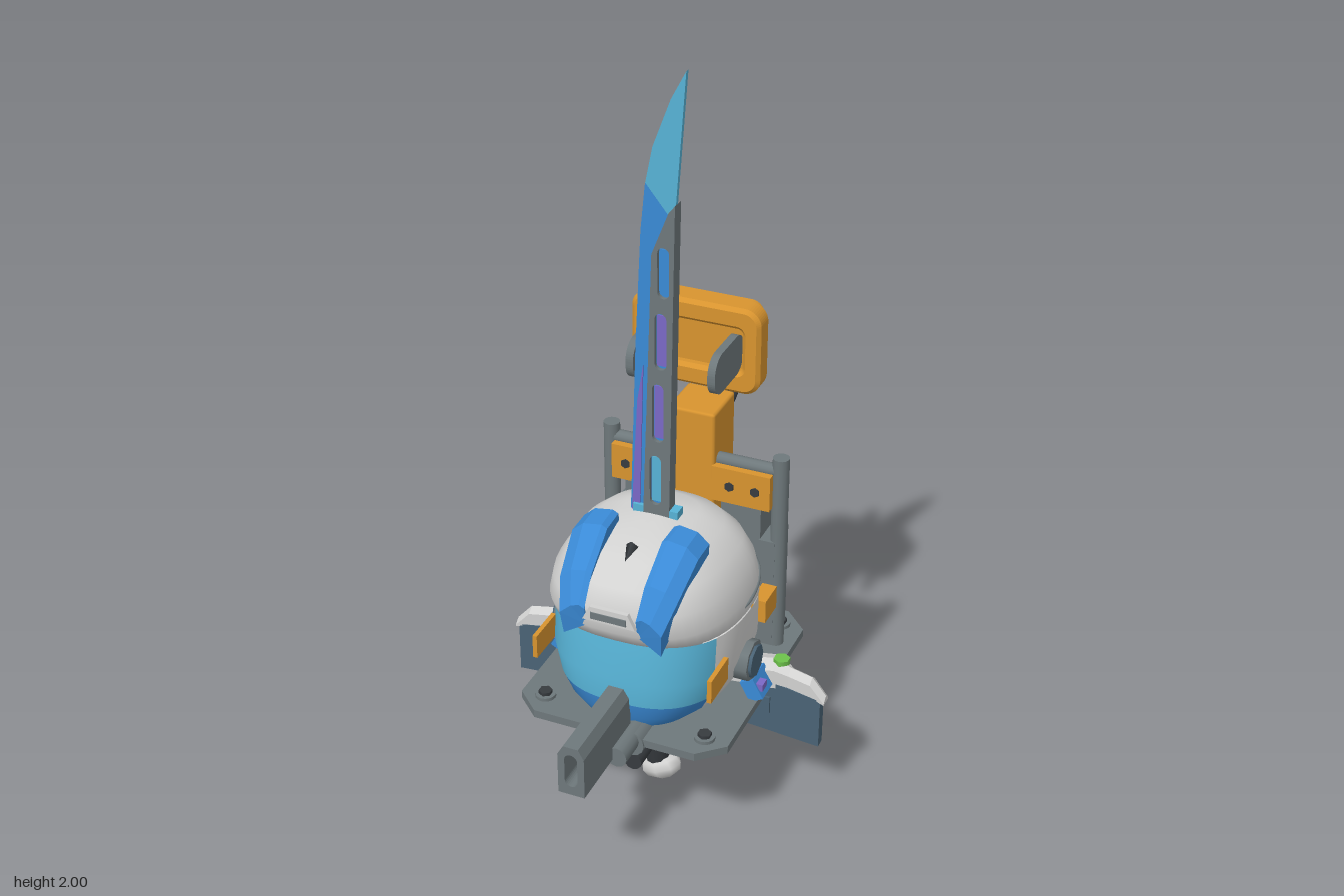
import * as THREE from 'three';
import { RoundedBoxGeometry } from 'three/addons/geometries/RoundedBoxGeometry.js';

const mat = (name, color, side = THREE.FrontSide) => {
  const m = new THREE.MeshStandardMaterial({ color, side });
  m.name = name;
  return m;
};

export function createModel() {
  const shell = mat('pale shell', 0xd2d2d1, THREE.DoubleSide);
  const grey = mat('steel grey', 0x6e787b);
  const dark = mat('dark rubber', 0x373b3f);
  const orange = mat('orange', 0xd8942f);
  const blue = mat('blue', 0x3a8ad6, THREE.DoubleSide);
  const cyan = mat('cyan', 0x57b3d6, THREE.DoubleSide);
  const slate = mat('slate blue', 0x4a6375);
  const purple = mat('purple', 0x7a68c6);
  const green = mat('green', 0x6cc24a);

  const root = new THREE.Group();
  root.name = 'model';
  const add = (name, geo, m, x = 0, y = 0, z = 0, rx = 0, ry = 0, rz = 0, parent = root) => {
    const mesh = new THREE.Mesh(geo, m);
    mesh.name = name;
    mesh.position.set(x, y, z);
    mesh.rotation.set(rx, ry, rz);
    parent.add(mesh);
    return mesh;
  };
  const box = (w, h, d) => new THREE.BoxGeometry(w, h, d);
  const cyl = (r, h, n = 16, r2 = r) => new THREE.CylinderGeometry(r, r2, h, n);
  const H = Math.PI / 2;
  const shapeOf = (pts) => new THREE.Shape(pts.map(([x, y]) => new THREE.Vector2(x, y)));
  // plate in the xy plane, centred on its own thickness
  const plate = (shape, depth, bevel = 0) => {
    const g = new THREE.ExtrudeGeometry(shape, { depth: depth - 2 * bevel, bevelEnabled: bevel > 0, bevelSize: bevel, bevelThickness: bevel, bevelOffset: -bevel, bevelSegments: 1, curveSegments: 6 });
    return g.translate(0, 0, -depth / 2 + bevel);
  };
  const tube = (pts, r, n = 32) => new THREE.TubeGeometry(new THREE.CatmullRomCurve3(pts.map((p) => new THREE.Vector3(...p))), n, r, 10);

  // skin over cross-sections; closed lofts get end caps and outward faces
  const loft = (sections, closed = true, flat = true) => {
    const n = sections[0].length, idx = [], P = sections.flat();
    for (let i = 0; i < sections.length - 1; i++)
      for (let j = 0; j < (closed ? n : n - 1); j++) {
        const a = i * n + j, b = i * n + ((j + 1) % n);
        idx.push(a, b, b + n, a, b + n, a + n);
      }
    if (closed) {
      const e = (sections.length - 1) * n;
      for (let j = 1; j < n - 1; j++) idx.push(0, j + 1, j, e, e + j, e + j + 1);
    }
    const v = (i) => new THREE.Vector3(...P[i]);
    let vol = 0;
    for (let i = 0; i < idx.length; i += 3) vol += v(idx[i]).dot(v(idx[i + 1]).cross(v(idx[i + 2])));
    if (vol < 0) idx.reverse();
    let g = new THREE.BufferGeometry();
    g.setAttribute('position', new THREE.Float32BufferAttribute(P.flat(), 3));
    g.setIndex(idx);
    if (flat) g = g.toNonIndexed();
    g.computeVertexNormals();
    return g;
  };

  // helmet: rings given as [height, half width, front z, back z]
  const onRing = ([y, a, f, b], t) => {
    const p = (u) => Math.sign(u) * Math.abs(u) ** (Math.cos(t) > 0 ? 0.76 : 0.9);
    const c = p(Math.cos(t));
    return [a * p(Math.sin(t)), y, c > 0 ? c * f : -c * b];
  };
  const ringSkin = (rows, t0, t1, n, closed) => loft(rows.map((r) =>
    Array.from({ length: n }, (_, j) => onRing(r, t0 + ((t1 - t0) * j) / (closed ? n : n - 1)))), closed, false);
  const dome = [[0.6, 0.24, 0.24, -0.18], [0.62, 0.252, 0.29, -0.185], [0.66, 0.252, 0.315, -0.187], [0.72, 0.237, 0.318, -0.18],
    [0.77, 0.206, 0.285, -0.163], [0.81, 0.157, 0.225, -0.13], [0.835, 0.095, 0.14, -0.08], [0.845, 0.01, 0.015, -0.01]];
  const jaw = [[0.355, 0.17, 0.265, -0.13], [0.39, 0.21, 0.28, -0.15], [0.43, 0.232, 0.288, -0.168], [0.5, 0.25, 0.29, -0.182], [0.61, 0.25, 0.272, -0.184]];
  add('helmetDome', ringSkin(dome, 0, 2 * Math.PI, 48, true), shell);
  add('helmetJaw', ringSkin(jaw, 1, 2 * Math.PI - 1, 36, false), shell);
  add('visor', ringSkin(jaw.slice(2), -1, 1, 24, false), cyan);
  add('visorLowerBand', ringSkin(jaw.slice(0, 3), -1, 1, 24, false), blue);
  add('browVent', plate(shapeOf([[-0.07, 0.69], [0.07, 0.69], [0.05, 0.73], [-0.05, 0.73]]), 0.012), shell, 0, 0, 0.321);
  add('browVentSlot', box(0.095, 0.018, 0.008), grey, 0, 0.707, 0.326);
  add('crownStud', new THREE.ConeGeometry(0.016, 0.05, 4), dark, 0, 0.822, 0.205, H + 0.4);

  for (const s of [-1, 1]) {
    // crest pads, sections as [z, top height, inner x, outer x]
    const pad = [[0.1, 0.865, 0.075, 0.168], [0.17, 0.862, 0.073, 0.168], [0.27, 0.79, 0.07, 0.155], [0.318, 0.72, 0.068, 0.135]];
    add('crestPad', loft(pad.map(([z, y, i, o]) => [[s * i, y - 0.06, z - 0.01], [s * i, y - 0.008, z], [s * (i + 0.015), y, z],
      [s * (o - 0.03), y - 0.008, z], [s * o, y - 0.035, z], [s * (o - 0.005), y - 0.1, z - 0.01]])), blue);
    add('sideCrease', tube([[0.22, 0.625, 0.13], [0.252, 0.645, 0.03], [0.236, 0.67, -0.07], [0.18, 0.7, -0.13]].map(([x, y, z]) => [s * x, y, z]), 0.005), grey);
    add('earRing', cyl(0.055, 0.04, 8), grey, s * 0.25, 0.47, 0.04, 0, 0, H);
    add('earCap', cyl(0.044, 0.05, 8), slate, s * 0.253, 0.47, 0.04, 0, 0, H);
    add('frontTag', box(0.012, 0.065, 0.11), orange, s * 0.237, 0.512, 0.205);
    add('rearTag', box(0.04, 0.065, 0.08), orange, s * 0.222, 0.512, -0.15);
    // crossguard wings
    const wing = [[0.16, 0.34, 0.4, -0.09, 0], [0.3, 0.35, 0.42, -0.095, -0.02], [0.34, 0.355, 0.41, -0.065, -0.025], [0.4, 0.35, 0.4, -0.06, -0.022], [0.44, 0.335, 0.355, -0.055, -0.02]];
    add('guardWing', loft(wing.map(([x, b, t, z0, z1]) => [[s * x, b, z0], [s * x, b, z1], [s * x, t - 0.015, z1], [s * x, t, (z0 + z1) / 2], [s * x, t - 0.015, z0]])), shell);
    add('guardPanel', plate(shapeOf([[0.13, 0.34], [0.13, 0.24], [0.24, 0.215], [0.43, 0.2], [0.43, 0.345], [0.3, 0.365]].map(([x, y]) => [s * x, y])), 0.028), slate, 0, 0, -0.035);
    add('guardInset', box(0.11, 0.05, 0.008), slate, s * 0.24, 0.295, -0.018);
    add('guardRoot', box(0.04, 0.06, 0.08), blue, s * 0.268, 0.38, 0.01, 0, 0, s * 0.5);
    add('guardGem', box(0.02, 0.02, 0.03), purple, s * 0.287, 0.392, 0.03);
    add('guardLight', cyl(0.022, 0.02, 6), green, s * 0.31, 0.414, -0.057);
    // rack behind the helmet
    add('rackPost', cyl(0.022, 0.58, 14), grey, s * 0.235, 0.63, -0.212);
    add('rackPanel', box(0.11, 0.44, 0.08), grey, s * 0.135, 0.57, -0.235);
    add('rackRail', box(0.045, 0.33, 0.1), grey, s * 0.21, 0.51, -0.24);
    for (const y of [0.46, 0.62]) add('panelLabel', box(0.055, 0.07, 0.008), orange, s * 0.135, y, -0.278, 0, 0, 0.15);
    add('shoulderPlate', box(0.16, 0.1, 0.03), orange, s * 0.14, 0.825, -0.19);
    for (const x of [0.11, 0.18]) add('shoulderBolt', cyl(0.013, 0.04, 6), dark, s * x, 0.825, -0.19, H);
    for (const z of [-0.29, 0.243]) {
      add('plateWasher', cyl(0.027, 0.012, 16), grey, s * 0.22, 0.356, z);
      add('plateBolt', cyl(0.018, 0.022, 6), dark, s * 0.22, 0.36, z);
    }
    // side barrels under the cannon
    add('sideBarrel', cyl(0.028, 0.3, 12), grey, s * 0.045, 0.345, 0.24, H);
    add('barrelCollar', cyl(0.036, 0.07, 12), grey, s * 0.05, 0.335, 0.28, H);
    add('barrelArm', box(0.1, 0.025, 0.05), shell, s * 0.06, 0.31, 0.21, 0, 0, -s * 0.6);
    add('underTube', cyl(0.024, 0.16, 12), dark, s * 0.035, 0.24, 0.19, H);
  }
  add('rackCrossbar', cyl(0.018, 0.47, 14), grey, 0, 0.88, -0.212, 0, 0, H);

  // base plate with cut corners
  add('basePlate', plate(shapeOf([[-0.285, -0.25], [-0.22, -0.31], [0.22, -0.31], [0.285, -0.25], [0.285, 0.29], [0.22, 0.355], [-0.22, 0.355], [-0.285, 0.29]]), 0.022), grey, 0, 0.342, 0, -H);
  add('underBox', box(0.16, 0.07, 0.16), dark, 0, 0.3, -0.12);
  add('underCable', tube([[0.16, 0.32, -0.05], [0.19, 0.27, -0.14], [0.1, 0.25, -0.2], [0, 0.27, -0.19], [-0.08, 0.3, -0.14]], 0.014), dark);
  add('coilDrum', cyl(0.052, 0.07, 20), orange, -0.13, 0.262, -0.09, H);
  add('coilRim', new THREE.TorusGeometry(0.045, 0.012, 8, 20), orange, -0.13, 0.262, -0.125);
  add('coilCore', cyl(0.024, 0.08, 12), dark, -0.13, 0.262, -0.092, H);

  // cannon with a slotted muzzle
  const muzzle = shapeOf([[-0.035, 0.335], [0.035, 0.335], [0.035, 0.45], [0.02, 0.477], [-0.02, 0.477], [-0.035, 0.45]]);
  const slot = (x, y0, y1, r) => {
    const p = new THREE.Path();
    p.absarc(x, y1 - r, r, 0, Math.PI);
    p.absarc(x, y0 + r, r, Math.PI, 2 * Math.PI);
    p.closePath();
    return p;
  };
  muzzle.holes.push(slot(0, 0.36, 0.455, 0.017));
  add('cannon', plate(muzzle, 0.27), grey, 0, 0, 0.415);
  add('cannonBore', box(0.05, 0.11, 0.16), dark, 0, 0.405, 0.38);

  // sword: hilt, pommel and blade
  const rect = (y, x, z0, z1) => [[-x, y, z0], [x, y, z0], [x, y, z1], [-x, y, z1]];
  add('hiltGuard', loft([rect(0.135, 0.06, -0.045, 0.05), rect(0.2, 0.1, -0.062, 0.075), rect(0.275, 0.125, -0.062, 0.092), rect(0.335, 0.07, -0.04, 0.07)]), blue);
  add('guardHub', cyl(0.075, 0.16, 8), grey, 0, 0.31, 0.07, H);
  add('guardHubCore', cyl(0.04, 0.17, 8), dark, 0, 0.31, 0.075, H);
  add('grip', cyl(0.048, 0.09, 10, 0.032), dark, 0, 0.11, 0.03);
  add('pommel', new THREE.SphereGeometry(0.05, 8, 6).scale(1.2, 0.78, 0.85), shell, 0.01, 0.046, 0.03, 0, 0, 0.35);
  const z = 0.028;
  add('bladeBody', plate(shapeOf([[-0.075, 0.7], [0.03, 0.7], [0.045, 1.63], [-0.028, 1.72], [-0.04, 1.6], [-0.055, 1.29]]), 0.014), blue, 0, 0, z);
  add('bladeTip', plate(shapeOf([[0.045, 1.63], [0.072, 2], [0.035, 1.93], [-0.01, 1.81], [-0.028, 1.72]]), 0.012), cyan, 0, 0, z);
  add('bladeStripe', plate(shapeOf([[-0.069, 0.78], [-0.046, 0.78], [-0.034, 1.25], [-0.05, 1.15]]), 0.02), purple, 0, 0, z);
  const frame = shapeOf([[-0.036, 0.72], [0.036, 0.72], [0.051, 1.68], [0.035, 1.66], [-0.008, 1.55]]);
  [[0.87, 1.01], [1.05, 1.21], [1.25, 1.4], [1.44, 1.57]].forEach(([a, b], i) => {
    frame.holes.push(slot(0.001 + i * 0.007, a, b, 0.015));
    add('slotInlay', box(0.024, (b - a) * 0.9, 0.02), [cyan, purple, purple, blue][i], 0.001 + i * 0.007, (a + b) / 2, z);
  });
  add('bladeFrame', plate(frame, 0.036), grey, 0, 0, z);
  add('bladeCollar', box(0.12, 0.03, 0.035), cyan, 0, 0.845, z);

  // power tower with cable and plug
  add('tower', new RoundedBoxGeometry(0.13, 0.68, 0.14, 1, 0.008), orange, 0, 0.68, -0.25);
  for (const y of [0.915, 0.81]) {
    add('socketRing', cyl(0.04, 0.035, 8), orange, 0, y, -0.335, H);
    add('socketCore', cyl(0.025, 0.045, 8), grey, 0, y, -0.335, H);
  }
  add('powerCable', tube([[0, 1.2, -0.35], [0, 1.195, -0.41], [0, 1.15, -0.5], [0, 1.05, -0.535], [0, 0.95, -0.49], [0, 0.91, -0.42], [0, 0.91, -0.34]], 0.016, 48), dark);
  const roundRect = (w, h, r) => {
    const s = new THREE.Shape();
    [[1, 1], [-1, 1], [-1, -1], [1, -1]].forEach(([a, b], i) => s.absarc(a * (w - r), b * (h - r), r, i * H, (i + 1) * H));
    return s;
  };
  const flange = roundRect(0.173, 0.118, 0.045);
  flange.holes.push(roundRect(0.125, 0.06, 0.015));
  add('plugFlange', plate(flange, 0.065, 0.01), orange, 0, 1.2, -0.233);
  add('plugFace', box(0.27, 0.13, 0.03), orange, 0, 1.2, -0.24);
  add('plugBody', plate(roundRect(0.135, 0.085, 0.035), 0.12, 0.025), orange, 0, 1.2, -0.295);
  add('plugNub', cyl(0.04, 0.03, 8), orange, 0, 1.2, -0.36, H);
  // blade-shaped prongs lie in the zy plane
  const prong = (l, h, t) => plate(roundRect(l / 2, h / 2, h * 0.45), t).rotateY(H);
  for (const s of [-1, 1]) add('plugProng', prong(0.19, 0.108, 0.02), grey, s * 0.108, 1.197, -0.14);

  // spare plug leaning on the tower
  const spare = new THREE.Group();
  spare.name = 'sparePlug';
  spare.position.set(-0.18, 0.455, -0.295);
  spare.rotation.set(0, 0.6, 0.2);
  root.add(spare);
  const rim = roundRect(0.06, 0.085, 0.02);
  rim.holes.push(roundRect(0.038, 0.06, 0.01));
  add('spareRim', plate(rim, 0.045), orange, 0, 0, 0, 0, 0, 0, spare);
  add('spareBack', box(0.09, 0.14, 0.02), orange, 0, 0, 0.005, 0, 0, 0, spare);
  for (const s of [-1, 1]) add('spareProng', box(0.045, 0.016, 0.1), grey, 0, s * 0.038, -0.045, 0, 0, 0, spare);
  return root;
}
